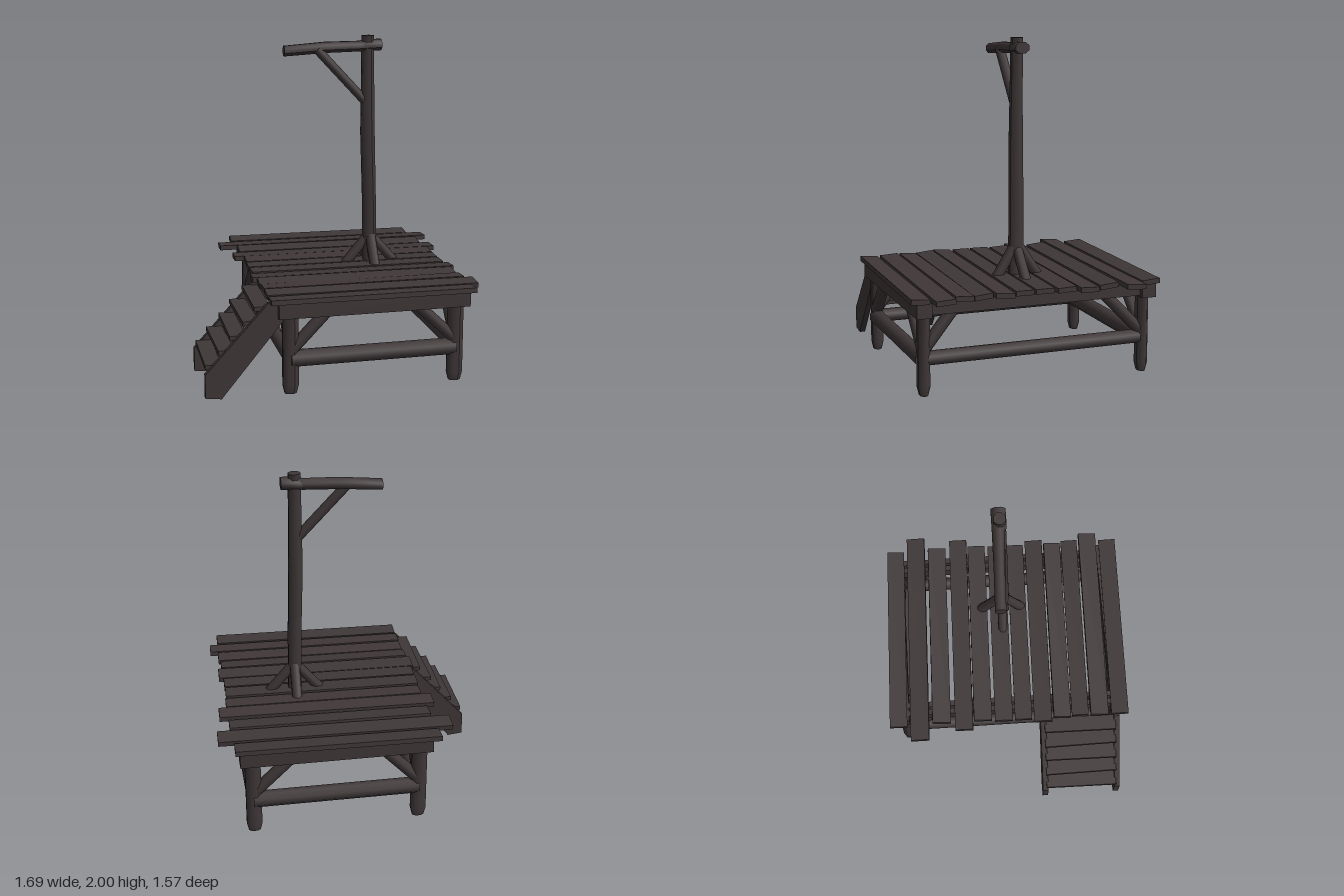
import * as THREE from 'three';

const wood = new THREE.MeshStandardMaterial({ color: 0x3f3738 });
wood.name = 'dark weathered wood';
const V = (x, y, z) => new THREE.Vector3(x, y, z);

export function createModel() {
  const model = new THREE.Group();
  model.name = 'woodenPlatform';

  function add(name, geometry) {
    const mesh = new THREE.Mesh(geometry, wood);
    mesh.name = name;
    model.add(mesh);
    return mesh;
  }

  function box(name, x0, x1, y0, y1, z0, z1) {
    const m = add(name, new THREE.BoxGeometry(x1 - x0, y1 - y0, z1 - z0));
    m.position.set((x0 + x1) / 2, (y0 + y1) / 2, (z0 + z1) / 2);
    return m;
  }

  // Straight eight-sided log between two points
  function log(name, a, b, r) {
    const dir = b.clone().sub(a);
    const geo = new THREE.CylinderGeometry(r, r, dir.length(), 8);
    geo.rotateY(Math.PI / 8);
    const m = add(name, geo);
    m.position.copy(a).add(b).multiplyScalar(0.5);
    m.quaternion.setFromUnitVectors(V(0, 1, 0), dir.normalize());
    return m;
  }

  // Crooked log: stations [along, offsetA, offsetB, radiusA, radiusB], lowest first
  function crookedLog(name, stations, alongX) {
    const n = stations.length - 1;
    const geo = new THREE.CylinderGeometry(1, 1, n, 8, n);
    geo.rotateY(Math.PI / 8);
    const p = geo.attributes.position;
    for (let i = 0; i < p.count; i++) {
      const [t, a, b, ra, rb] = stations[Math.round(p.getY(i) + n / 2)];
      const u = a + p.getX(i) * ra, w = b + p.getZ(i) * rb;
      if (alongX) p.setXYZ(i, t, -u, w);
      else p.setXYZ(i, u, t, w);
    }
    geo.computeVertexNormals();
    return add(name, geo);
  }

  // Legs with chamfered feet
  const legX = [-0.345, 0.655];
  for (const x of legX) for (const z of [-0.688, 0.688]) {
    crookedLog('leg', [
      [0, x, z, 0.038, 0.026], [0.05, x, z, 0.05, 0.038], [0.5, x, z, 0.05, 0.038],
    ]);
  }

  // Lower rails, top frame and corner braces
  for (const s of [-1, 1]) {
    const z = s * 0.688;
    log('lowerRail', V(legX[0], 0.21, z), V(legX[1], 0.21, z), 0.05);
    box('endBeam', -0.42, 0.73, 0.465, 0.555, s * 0.7 - 0.045, s * 0.7 + 0.045);
    log('cornerBrace', V(-0.35, 0.25, z), V(-0.11, 0.5, z), 0.036);
    log('cornerBrace', V(0.66, 0.25, z), V(0.4, 0.5, z), 0.036);
  }
  for (const x of legX) {
    log('sideRail', V(x, 0.215, -0.688), V(x, 0.215, 0.688), 0.042);
    for (const o of [-0.026, 0.026]) {
      box('sideBeam', x + o - 0.017, x + o + 0.017, 0.475, 0.556, -0.69, 0.69);
    }
    log('cornerBrace', V(x, 0.26, 0.69), V(x, 0.5, 0.5), 0.036);
    log('cornerBrace', V(x, 0.24, -0.69), V(x, 0.5, -0.43), 0.036);
  }

  // Deck planks: [left end, right end, centre z, width, roll]
  const planks = [
    [-0.465, 0.755, -0.712, 0.112, 0.08], [-0.56, 0.845, -0.575, 0.118, -0.06],
    [-0.455, 0.765, -0.435, 0.118, 0.1], [-0.51, 0.815, -0.29, 0.115, -0.03],
    [-0.455, 0.765, -0.168, 0.115, 0.05], [-0.465, 0.755, -0.033, 0.115, 0],
    [-0.465, 0.755, 0.093, 0.11, 0], [-0.485, 0.78, 0.22, 0.115, -0.07],
    [-0.465, 0.755, 0.343, 0.11, 0.1], [-0.46, 0.765, 0.46, 0.108, -0.05],
    [-0.465, 0.81, 0.585, 0.115, 0.06], [-0.465, 0.755, 0.717, 0.11, -0.07],
  ];
  planks.forEach(([x0, x1, z, w, roll]) => {
    const m = box('deckPlank', x0, x1, 0.553, 0.583, z - w / 2, z + w / 2);
    m.rotation.set(roll, -0.02, 0);
  });

  // Upright post, slightly crooked
  crookedLog('post', [
    [0.56, 0.315, -0.008, 0.045, 0.048], [0.95, 0.311, -0.01, 0.044, 0.046],
    [1.4, 0.298, -0.012, 0.046, 0.042], [1.7, 0.297, -0.014, 0.042, 0.038],
    [2.0, 0.297, -0.018, 0.04, 0.037],
  ]);

  // Cross arm and its brace
  crookedLog('crossArm', [
    [-0.225, -1.912, -0.045, 0.034, 0.034], [0.03, -1.93, -0.037, 0.036, 0.034],
    [0.25, -1.934, -0.03, 0.034, 0.038], [0.27, -1.938, -0.022, 0.038, 0.046],
    [0.38, -1.942, -0.022, 0.037, 0.046],
  ], true);
  log('armBrace', V(-0.02, 1.92, -0.03), V(0.3, 1.575, -0.014), 0.03);

  // Four struts around the foot of the post
  log('postStrut', V(0.155, 0.56, -0.012), V(0.32, 0.755, -0.012), 0.031);
  log('postStrut', V(0.48, 0.56, -0.012), V(0.31, 0.755, -0.012), 0.031);
  log('postStrut', V(0.318, 0.56, 0.12), V(0.316, 0.755, 0), 0.032);
  log('postStrut', V(0.318, 0.56, -0.15), V(0.316, 0.755, -0.02), 0.032);

  // Stair stringers
  const side = new THREE.Shape([
    [-0.845, 0.01], [-0.75, 0], [-0.735, 0.02], [-0.39, 0.44],
    [-0.39, 0.553], [-0.475, 0.553], [-0.845, 0.15],
  ].map(([x, y]) => new THREE.Vector2(x, y)));
  for (const z of [0.19, 0.665]) {
    const geo = new THREE.ExtrudeGeometry(side, { depth: 0.036, bevelEnabled: false });
    add('stairStringer', geo).position.z = z;
  }

  // Stair treads
  for (let i = 0; i < 5; i++) {
    const x = -0.838 + i * 0.072, y = 0.175 + i * 0.082;
    box('stairTread', x, x + 0.095, y, y + 0.026, 0.215, 0.675).rotation.y = 0.012 * (i % 2 ? 1 : -1);
  }

  return model;
}
